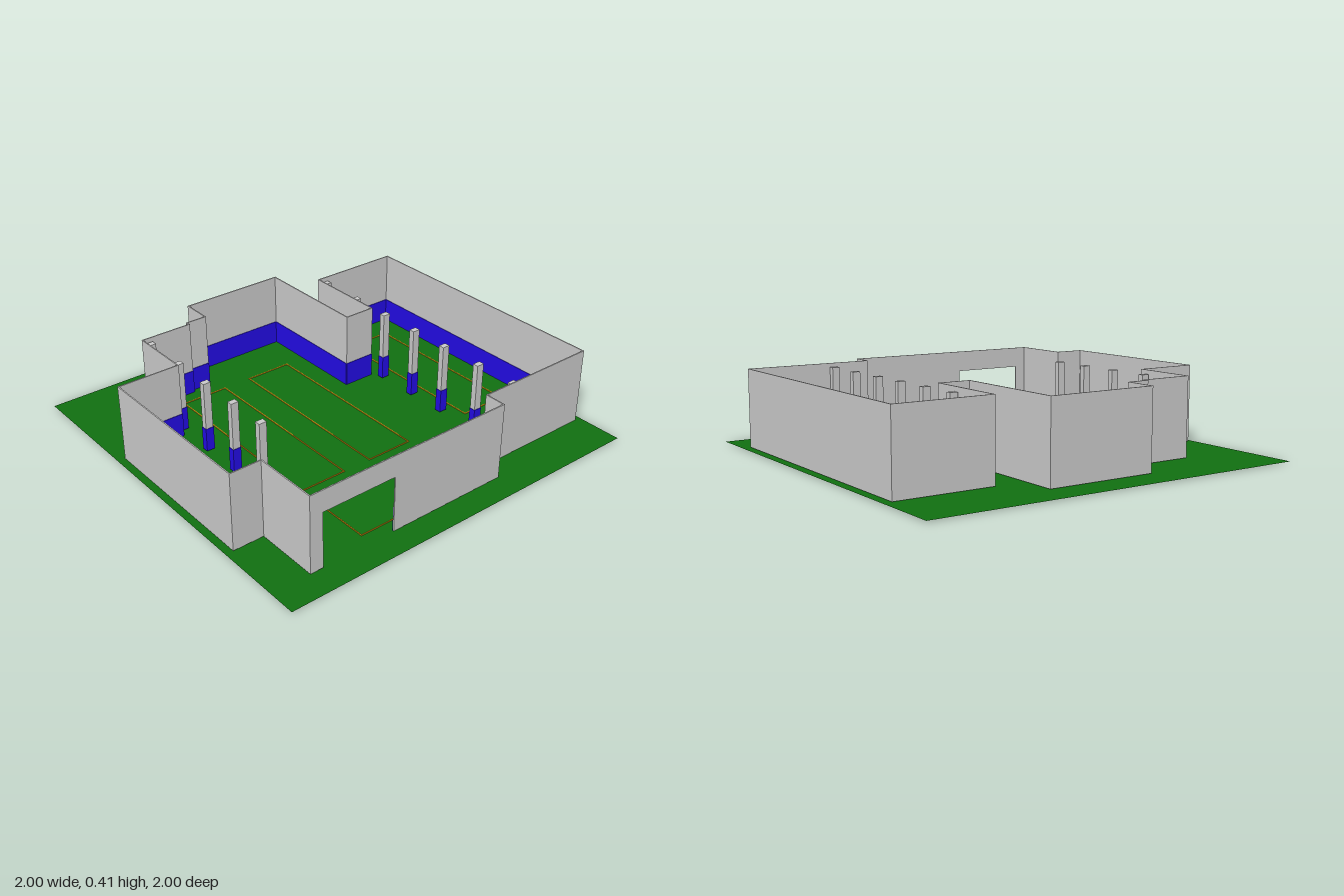
import * as THREE from 'three';

const FLOOR = 0.01, WALL_TOP = 0.405, BAND_TOP = 0.135, THICK = 0.006;

const grey = new THREE.MeshStandardMaterial({ color: 0xcccccc });
const green = new THREE.MeshStandardMaterial({ color: 0x117011, side: THREE.DoubleSide });
const blue = new THREE.MeshStandardMaterial({ color: 0x230ce6 });
const orange = new THREE.MeshStandardMaterial({ color: 0xd99a10 });

// Box given by its lower and upper limits on each axis
function box(parent, name, material, x0, x1, y0, y1, z0, z1) {
  const mesh = new THREE.Mesh(new THREE.BoxGeometry(x1 - x0, y1 - y0, z1 - z0), material);
  mesh.position.set((x0 + x1) / 2, (y0 + y1) / 2, (z0 + z1) / 2);
  mesh.name = name;
  parent.add(mesh);
}

// Thin upright slab along the axis-aligned line a-b
function slab(parent, name, material, a, b, y0, y1, thick, grow) {
  const alongX = a[1] === b[1];
  const gx = alongX ? grow : thick / 2, gz = alongX ? thick / 2 : grow;
  box(parent, name, material,
    Math.min(a[0], b[0]) - gx, Math.max(a[0], b[0]) + gx, y0, y1,
    Math.min(a[1], b[1]) - gz, Math.max(a[1], b[1]) + gz);
}

// Grey wall with a blue band on its inner face
function wall(parent, a, b) {
  slab(parent, 'wall', grey, a, b, FLOOR, WALL_TOP, THICK, THICK / 2);
  const dx = Math.sign(b[0] - a[0]), dz = Math.sign(b[1] - a[1]);
  const inset = ([x, z]) => [x - dz * 0.004, z + dx * 0.004];
  slab(parent, 'wallBand', blue, inset(a), inset(b), FLOOR, BAND_TOP, 0.004, 0.0025);
}

// Rectangular marking on the ground
function marking(parent, x0, x1, z0, z1) {
  const c = [[x0, z0], [x1, z0], [x1, z1], [x0, z1]];
  c.forEach((p, i) => slab(parent, 'floorLine', orange, p, c[(i + 1) % 4], 0, 0.01, 0.005, 0.0025));
}

function addGroup(parent, name) {
  const group = new THREE.Group();
  group.name = name;
  parent.add(group);
  return group;
}

export function createModel() {
  const model = new THREE.Group();
  model.name = 'hall';

  const ground = new THREE.Mesh(new THREE.PlaneGeometry(2, 2), green);
  ground.name = 'ground';
  ground.rotation.x = -Math.PI / 2;
  ground.position.y = 0.006;
  model.add(ground);

  // Outer walls, running round the plan from the back
  const walls = addGroup(model, 'walls');
  const plan = [
    [-0.26, -0.845], [0.3, -0.845], [0.3, -0.23], [0.465, -0.23], [0.465, -0.67], [0.96, -0.67],
    [0.96, 0.76], [0.3, 0.76], [0.3, 0.865], [-0.8, 0.865], [-0.8, 0.54], [-0.96, 0.54],
    [-0.96, -0.35], [-0.64, -0.35], [-0.64, -0.67], [-0.37, -0.67], [-0.37, -0.69], [-0.26, -0.69],
  ];
  const doorLeft = -0.345, doorRight = -0.735, doorTop = 0.295;
  plan.forEach((a, i) => {
    const b = plan[(i + 1) % plan.length];
    if (a[1] === 0.865 && b[1] === 0.865) {
      // Front wall, split by the doorway
      wall(walls, a, [doorLeft + THICK / 2, a[1]]);
      wall(walls, [doorRight - THICK / 2, a[1]], b);
      slab(walls, 'doorLintel', grey, [doorLeft, a[1]], [doorRight, a[1]], doorTop, WALL_TOP, THICK, 0);
    } else wall(walls, a, b);
  });

  // Two rows of pillars with blue feet
  const pillars = addGroup(model, 'pillars');
  const rows = [-0.645, -0.395, -0.165, 0.06, 0.275, 0.51, 0.735];
  for (const [x, count] of [[-0.61, 5], [0.5, 7]]) {
    for (const z of rows.slice(0, count)) {
      box(pillars, 'pillar', grey, x - 0.02, x + 0.02, 0.02, 0.385, z - 0.015, z + 0.015);
      box(pillars, 'pillarFoot', blue, x - 0.022, x + 0.022, 0.018, 0.14, z - 0.017, z + 0.017);
    }
  }

  // Marked areas on the ground
  const markings = addGroup(model, 'floorMarkings');
  marking(markings, -0.47, -0.22, -0.6, 0.38);
  marking(markings, -0.065, 0.185, -0.6, 0.38);
  marking(markings, 0.58, 0.835, -0.535, 0.37);
  marking(markings, -0.47, 0.115, 0.5, 0.8);

  return model;
}
